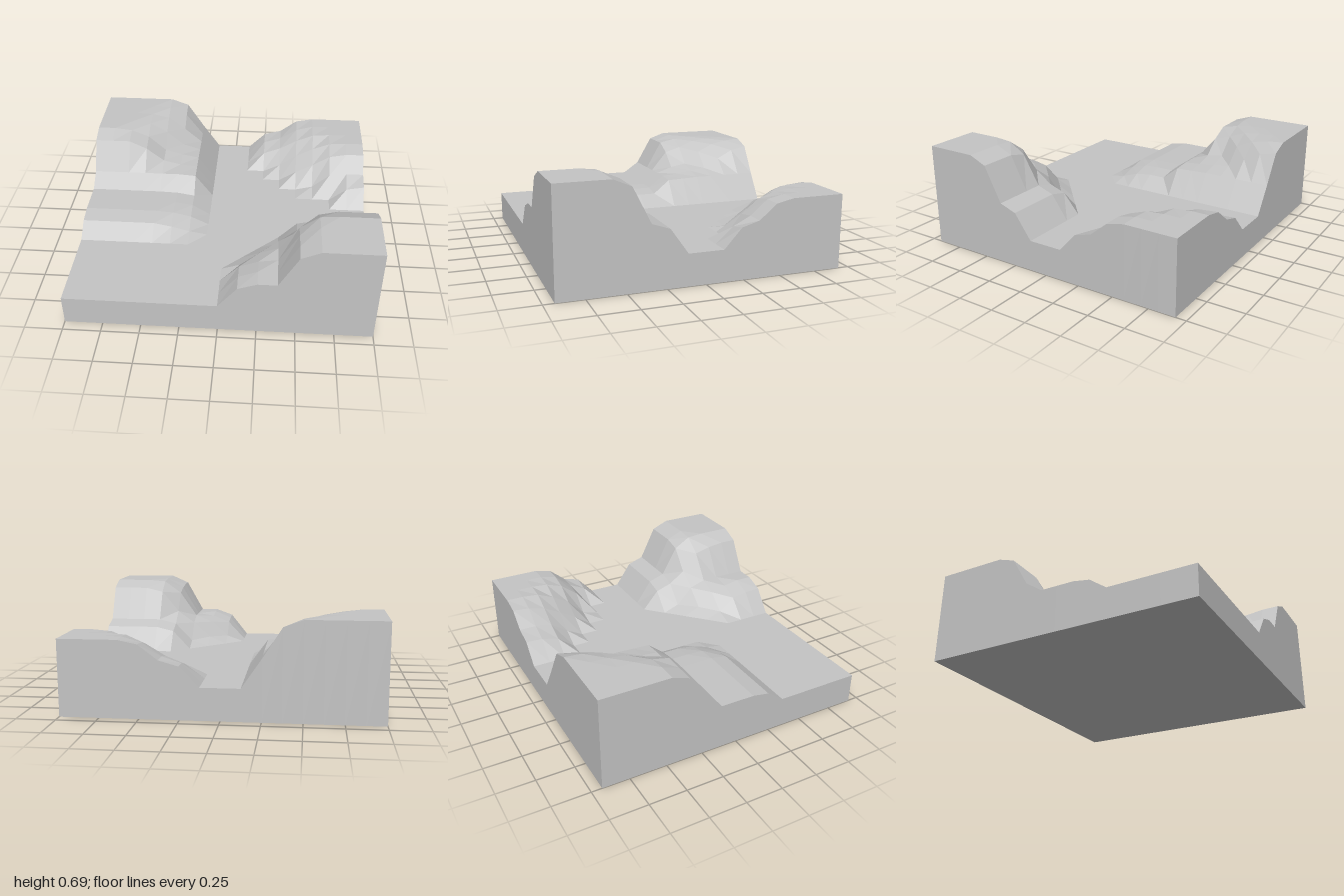
import * as THREE from 'three';

const CELLS = 16, WIDTH = 2, DEPTH = 1.86, VALLEY = 0.207;

// Each hill is a run of cross-sections, one per grid row from the back.
// A section holds the column of its foot, then heights climbing outward;
// the last height continues to the edge of the block.
const backLeftHill = {
  firstRow: 0, step: -1, sections: [
    [7, VALLEY, 0.39, 0.585, 0.63],
    [7, VALLEY, 0.39, 0.56, 0.62, 0.63],
    [7, VALLEY, 0.39, 0.5, 0.595, 0.625, 0.63],
    [7, VALLEY, 0.39, 0.43, 0.54, 0.61, 0.63],
    [7, VALLEY, 0.39, 0.415, 0.45, 0.565, 0.615, 0.63],
    [7, VALLEY, 0.385, 0.4, 0.43, 0.53, 0.59],
    [7, VALLEY, 0.38, 0.39],
    // low terrace in front of the hill
    [7, VALLEY, 0.285, 0.305, 0.31],
    [7, VALLEY, 0.285, 0.305, 0.31],
    [7, VALLEY, 0.27, 0.3, 0.31],
    [7, VALLEY, 0.23, 0.265, 0.29],
  ],
};
const backRightHill = {
  firstRow: 0, step: 1, sections: [
    [9, VALLEY, 0.335, 0.37, 0.465, 0.49],
    [9, VALLEY, 0.33, 0.37, 0.455, 0.49],
    [9, VALLEY, 0.3, 0.35, 0.425, 0.48, 0.49],
    [10, VALLEY, 0.27, 0.36, 0.43, 0.48, 0.49],
    [11, VALLEY, 0.29, 0.36, 0.44, 0.465],
    [12, VALLEY, 0.24, 0.35, 0.368],
    [14, VALLEY, 0.31, 0.335],
  ],
};
const frontRightHill = {
  firstRow: 10, step: 1, sections: [
    [11, VALLEY, 0.34, 0.37],
    [10, VALLEY, 0.25, 0.38, 0.41],
    [9, VALLEY, 0.26, 0.37, 0.46, 0.61, 0.64],
    [8, VALLEY, 0.25, 0.36, 0.41, 0.59, 0.68, 0.69],
    [8, VALLEY, 0.34, 0.39, 0.41, 0.62, 0.69],
    [8, VALLEY, 0.36, 0.41, 0.41, 0.635, 0.69],
    [8, VALLEY, 0.365, 0.41, 0.41, 0.635, 0.69],
  ],
};
const hills = [backLeftHill, backRightHill, frontRightHill];

// Terrain height at a grid corner: the highest hill there, or the valley floor
function heightAt(column, row) {
  let height = VALLEY;
  for (const { firstRow, step, sections } of hills) {
    const section = sections[row - firstRow];
    if (!section) continue;
    const [foot, ...heights] = section;
    const outward = (column - foot) * step;
    if (outward < 0) continue;
    height = Math.max(height, heights[Math.min(outward, heights.length - 1)]);
  }
  return height;
}

export function createModel() {
  const model = new THREE.Group();
  model.name = 'terrainTile';

  const stone = new THREE.MeshStandardMaterial({ color: 0xc4c4c4, flatShading: true });
  stone.name = 'light grey';

  // Gridded block whose upper corners are lifted to the terrain height
  const box = new THREE.BoxGeometry(WIDTH, 1, DEPTH, CELLS, 1, CELLS);
  const position = box.attributes.position;
  for (let k = 0; k < position.count; k++) {
    const column = Math.round((position.getX(k) / WIDTH + 0.5) * CELLS);
    const row = Math.round((position.getZ(k) / DEPTH + 0.5) * CELLS);
    position.setY(k, position.getY(k) > 0 ? heightAt(column, row) : 0);
  }
  box.clearGroups();
  const geometry = box.toNonIndexed();
  geometry.computeVertexNormals();

  const terrain = new THREE.Mesh(geometry, stone);
  terrain.name = 'terrainBlock';
  model.add(terrain);
  return model;
}
